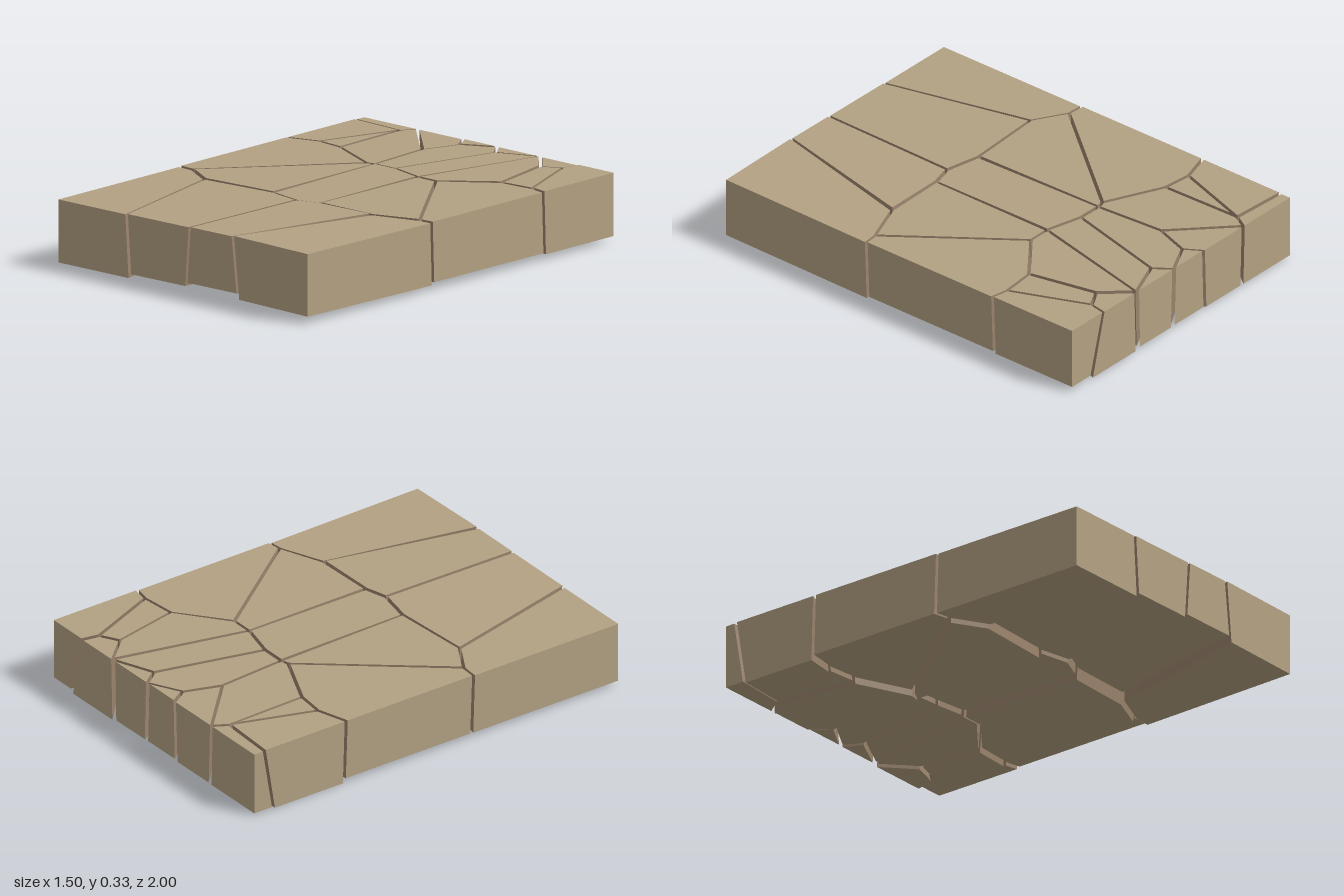
import * as THREE from 'three';

// Crack junctions on the top face: x, z, then optional shift of x, z at the underside
const nodes = {
  // front edge
  a0: [-0.75, 1], a1: [-0.34, 1, 0.02], a2: [0.04, 1, -0.02], a3: [0.3, 1, 0.03], a4: [0.75, 1],
  // crack between front and middle rows
  b0: [-0.75, 0.205, 0, -0.01], b1: [-0.67, 0.21], b2: [-0.515, 0.3, 0.01, 0.005], b3: [-0.125, 0.275, 0.01, 0.01],
  b4: [0.05, 0.31, -0.01, 0.005], b5: [0.16, 0.28, 0, -0.015], b6: [0.47, 0.275, 0.02, -0.02],
  b7: [0.685, 0.195, -0.01, -0.015], b8: [0.75, 0.19, 0, -0.01],
  // crack between middle and back rows
  c0: [-0.75, -0.495, 0, -0.01], c1: [-0.6, -0.54, 0, 0.015], c2: [-0.46, -0.525, 0.015, 0.015],
  c3: [-0.18, -0.395], c4: [-0.14, -0.405, 0.015], c5: [-0.02, -0.405, 0.015, 0.01], c6: [0.16, -0.36, -0.01, -0.015],
  c7: [0.27, -0.36, -0.015, -0.015], c8: [0.5, -0.54, -0.01, -0.015], c9: [0.67, -0.555, 0.015, -0.01],
  c10: [0.75, -0.54, 0, -0.01],
  // back edge
  d0: [-0.75, -1], d1: [-0.43, -1, 0.01], d2: [-0.155, -1, -0.01], d3: [0.05, -1, 0.01], d4: [0.31, -1, -0.01],
  d5: [0.535, -1, 0.08], d6: [0.75, -1],
  // junctions inside the back row
  e0: [-0.75, -0.945, 0, 0.05], e1: [-0.47, -0.93, -0.02, 0.02], e2: [-0.165, -0.745, 0.015, 0.01],
  e3: [-0.105, -0.92, 0.01, 0.01], e4: [0.11, -0.92, 0, 0.015], e5: [0.43, -0.87, 0.02, 0.01], e6: [0.52, -0.92, 0.06, 0.02],
};

// name, outline, top height, bottom height, tilt along x and z
const stones = [
  ['frontRightStone', 'a0 a1 b2 b1 b0', 0.313, 0.025, 0.004, 0],
  ['frontInnerRightStone', 'a1 a2 b4 b3 b2', 0.316, 0.044, 0.008, 0.002],
  ['frontInnerLeftStone', 'a2 a3 b6 b5 b4', 0.316, 0.059, 0.008, 0.004],
  ['frontLeftStone', 'a3 a4 b8 b7 b6', 0.318, 0.032, -0.014, 0.012],
  ['middleRightStone', 'b0 b1 c3 c2 c1 c0', 0.315, 0.025, 0.002, 0],
  ['middleInnerRightStone', 'b1 b2 b3 c4 c3', 0.316, 0.008, 0.003, 0.004],
  ['middleCentreStone', 'b3 b4 b5 c6 c5 c4', 0.315, 0.036, 0.003, -0.004],
  ['middleInnerLeftStone', 'b5 b6 b7 c7 c6', 0.317, 0.012, -0.004, 0.004],
  ['middleLeftStone', 'b7 b8 c10 c9 c8 c7', 0.317, 0.038, -0.004, 0.002],
  ['backRightCornerStone', 'd0 d1 e1 e0', 0.314, 0.016, 0.002, 0.003],
  ['backRightStone', 'e0 e1 c1 c0', 0.315, 0.005, 0.003, 0],
  ['backWedgeStone', 'e1 c2 c1', 0.314, 0.012, 0, 0],
  ['backInnerRightStone', 'd1 e2 c4 c3 c2 e1', 0.315, 0.003, 0.002, 0.002],
  ['backRightChip', 'd1 d2 e3 e2', 0.311, 0.014, 0.002, 0],
  ['backCentreChip', 'd2 d3 e3', 0.314, 0.02, 0, 0],
  ['backCentreStone', 'e2 e3 d3 e4 c5 c4', 0.315, 0.024, 0, 0.003],
  ['backInnerLeftStone', 'e4 d4 c6 c5', 0.316, 0.022, 0.002, 0.002],
  ['backInnerLeftChip', 'd3 d4 e4', 0.313, 0.018, 0, 0],
  ['backLeftStone', 'd4 e5 c8 c7 c6', 0.315, 0.014, 0.003, -0.002],
  ['backLeftChip', 'd4 d5 e6 e5', 0.314, 0.01, 0, 0.002],
  ['backLeftWedgeStone', 'e5 e6 c9 c8', 0.316, 0.018, 0, 0.002],
  ['backLeftCornerStone', 'd5 d6 c10 c9 e6', 0.316, 0.026, 0, 0],
];

const HALF_GAP = 0.008;

// True where an edge lies on the outer rim of the slab
const onRim = (p, q) =>
  (p.x === q.x && Math.abs(p.x) === 0.75) || (p.y === q.y && Math.abs(p.y) === 1);

// Pull every inner edge of a counter-clockwise outline inwards by half a gap
function inset(points) {
  const n = points.length;
  const lines = points.map((p, i) => {
    const q = points[(i + 1) % n];
    const dir = q.clone().sub(p).normalize();
    const normal = new THREE.Vector2(-dir.y, dir.x);
    return { dir, normal, start: p.clone().addScaledVector(normal, onRim(p, q) ? 0 : HALF_GAP) };
  });
  return lines.map((line, i) => {
    const prev = lines[(i + n - 1) % n];
    const det = prev.dir.cross(line.dir);
    if (Math.abs(det) < 0.01) return line.start.clone();
    const t = line.start.clone().sub(prev.start).cross(line.dir) / det;
    return prev.start.clone().addScaledVector(prev.dir, t);
  });
}

// Tapered prism: group 0 is the worn outside, group 1 the cracked walls
function stoneGeometry(outline, top, bottom, tiltX, tiltZ) {
  let keys = outline.split(' ');
  // y of these 2D points is -z, so that counter-clockwise faces up
  const at = (k, low) => {
    const [x, z, dx = 0, dz = 0] = nodes[k];
    return new THREE.Vector2(x + dx * low, -(z + dz * low));
  };
  if (THREE.ShapeUtils.area(keys.map((k) => at(k, 0))) < 0) keys = keys.reverse();
  const rawTop = keys.map((k) => at(k, 0));
  const upper = inset(rawTop);
  const lower = inset(keys.map((k) => at(k, 1)));
  const lift = (h) => (p) => [p.x, h + p.x * tiltX - p.y * tiltZ, -p.y];
  const up = upper.map(lift(top));
  const down = lower.map(lift(bottom));

  const outside = [];
  const cracked = [];
  for (const [a, b, c] of THREE.ShapeUtils.triangulateShape(upper, [])) outside.push(up[a], up[b], up[c]);
  for (const [a, b, c] of THREE.ShapeUtils.triangulateShape(lower, [])) outside.push(down[a], down[c], down[b]);
  keys.forEach((_, i) => {
    const j = (i + 1) % keys.length;
    const wall = onRim(rawTop[i], rawTop[j]) ? outside : cracked;
    wall.push(down[i], down[j], up[j], down[i], up[j], up[i]);
  });

  const geometry = new THREE.BufferGeometry();
  const all = [...outside, ...cracked].flat();
  geometry.setAttribute('position', new THREE.Float32BufferAttribute(all, 3));
  geometry.addGroup(0, outside.length, 0);
  geometry.addGroup(outside.length, cracked.length, 1);
  geometry.computeVertexNormals();
  return geometry;
}

export function createModel() {
  const stone = new THREE.MeshStandardMaterial({ color: 0xb3a182 });
  stone.name = 'sandstone';
  const crack = new THREE.MeshStandardMaterial({ color: 0x9a836c });
  crack.name = 'brown crack wall';

  const slab = new THREE.Group();
  slab.name = 'crackedSlab';
  for (const [name, ...shape] of stones) {
    const mesh = new THREE.Mesh(stoneGeometry(...shape), [stone, crack]);
    mesh.name = name;
    slab.add(mesh);
  }
  return slab;
}
